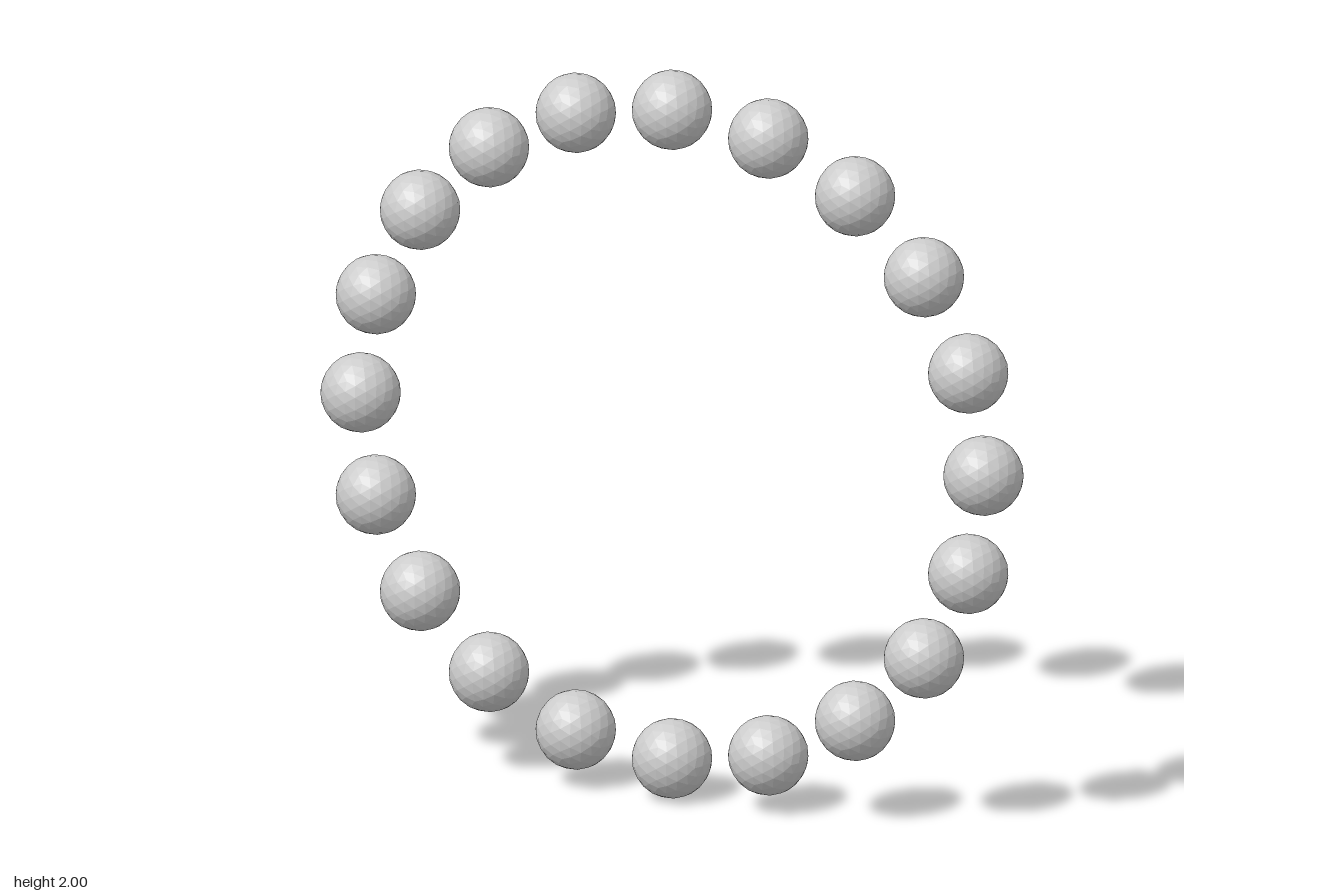
import * as THREE from 'three';

// A ring of evenly spaced faceted beads standing upright
export function createModel() {
  const beadCount = 20, beadRadius = 0.106, ringRadius = 0.894;
  const model = new THREE.Group();
  model.name = 'beadRing';

  const material = new THREE.MeshStandardMaterial({ color: 0xcccccc, flatShading: true });
  const beadGeometry = new THREE.IcosahedronGeometry(beadRadius, 3);

  for (let i = 0; i < beadCount; i++) {
    const angle = (i / beadCount) * Math.PI * 2;
    const bead = new THREE.Mesh(beadGeometry, material);
    bead.name = `bead${i + 1}`;
    bead.position.set(Math.sin(angle) * ringRadius, 1 + Math.cos(angle) * ringRadius, 0);
    model.add(bead);
  }
  return model;
}
